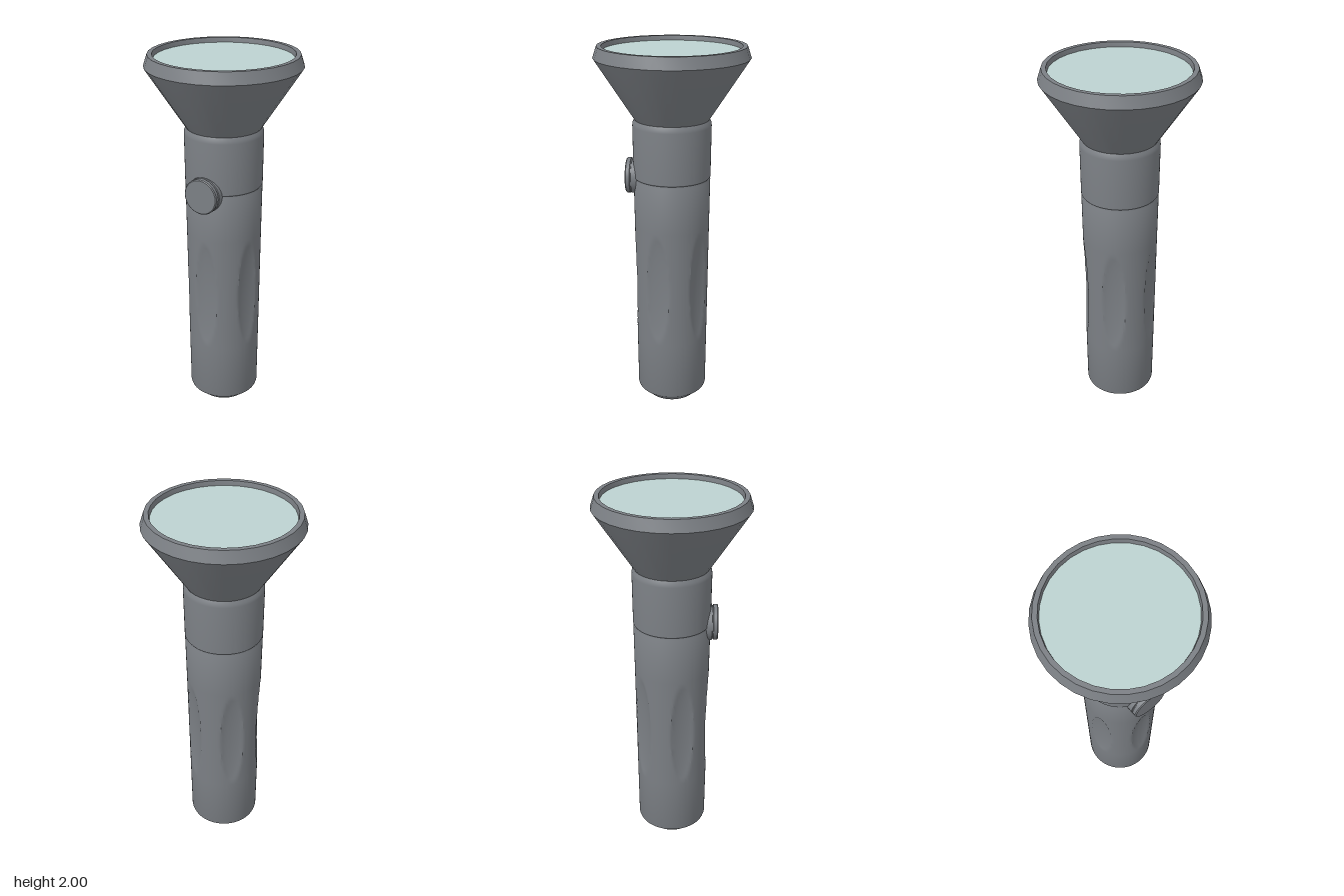
import * as THREE from 'three';
import { toCreasedNormals } from 'three/addons/utils/BufferGeometryUtils.js';

const casing = new THREE.MeshStandardMaterial({ color: 0x7b7f84 });
casing.name = 'casing grey';
const glass = new THREE.MeshStandardMaterial({ color: 0xbcd2d0 });
glass.name = 'lens glass';

const GRIPS = 5;

function addMesh(parent, name, geometry, material, crease = 0.5) {
  const mesh = new THREE.Mesh(toCreasedNormals(geometry, crease), material);
  mesh.name = name;
  parent.add(mesh);
  return mesh;
}

function lathe(points, segments) {
  return new THREE.LatheGeometry(points.map(([r, y]) => new THREE.Vector2(r, y)), segments);
}

// Press shallow oval finger grips into the barrel, one facing the front
function pressGrips(geometry) {
  const pos = geometry.attributes.position;
  const step = (Math.PI * 2) / GRIPS;
  for (let i = 0; i < pos.count; i++) {
    const x = pos.getX(i), y = pos.getY(i), z = pos.getZ(i);
    const r = Math.hypot(x, z);
    if (r < 0.15) continue;
    const angle = Math.atan2(x, z);
    const offset = angle - Math.round(angle / step) * step;
    const d = Math.hypot((offset * r) / 0.066, (y - 0.71) / 0.31);
    if (d >= 1) continue;
    const k = (r - 0.02 * Math.pow(1 - d * d, 0.8)) / r;
    pos.setXYZ(i, x * k, y, z * k);
  }
  return geometry;
}

export function createModel() {
  const model = new THREE.Group();
  model.name = 'flashlight';

  // Barrel: recessed tail, tapered grip, seam groove, rounded collar
  const barrel = [[0, 0.02], [0.075, 0.02], [0.09, 0], [0.135, 0], [0.19, 0.05], [0.194, 0.062]];
  for (let i = 0; i <= 32; i++) {
    const y = 0.38 + (i / 32) * 0.66;
    barrel.push([0.194 + (y - 0.06) * 0.0085, y]);
  }
  barrel.push([0.205, 1.3], [0.202, 1.306], [0.202, 1.31], [0.206, 1.316],
    [0.208, 1.59], [0.206, 1.605], [0.197, 1.622], [0.18, 1.625]);
  addMesh(model, 'barrel', pressGrips(lathe(barrel, 120)), casing);

  // Flared head with a bevelled rim and an inner wall down to the lens
  addMesh(model, 'head', lathe([
    [0.18, 1.6], [0.196, 1.62], [0.404, 1.94], [0.384, 2], [0.36, 2], [0.354, 1.97], [0.354, 1.955],
  ], 32), casing);

  // Lens
  const lens = addMesh(model, 'lens', new THREE.CircleGeometry(0.356, 32), glass);
  lens.rotation.x = -Math.PI / 2;
  lens.position.y = 1.975;

  // Round push switch standing out of the front
  const button = addMesh(model, 'switch', lathe([
    [0.096, 0.16], [0.096, 0.211], [0.09, 0.213], [0.09, 0.217],
    [0.095, 0.219], [0.095, 0.238], [0.09, 0.243], [0, 0.243],
  ], 32), casing);
  button.rotation.x = Math.PI / 2;
  button.position.y = 1.308;

  return model;
}
